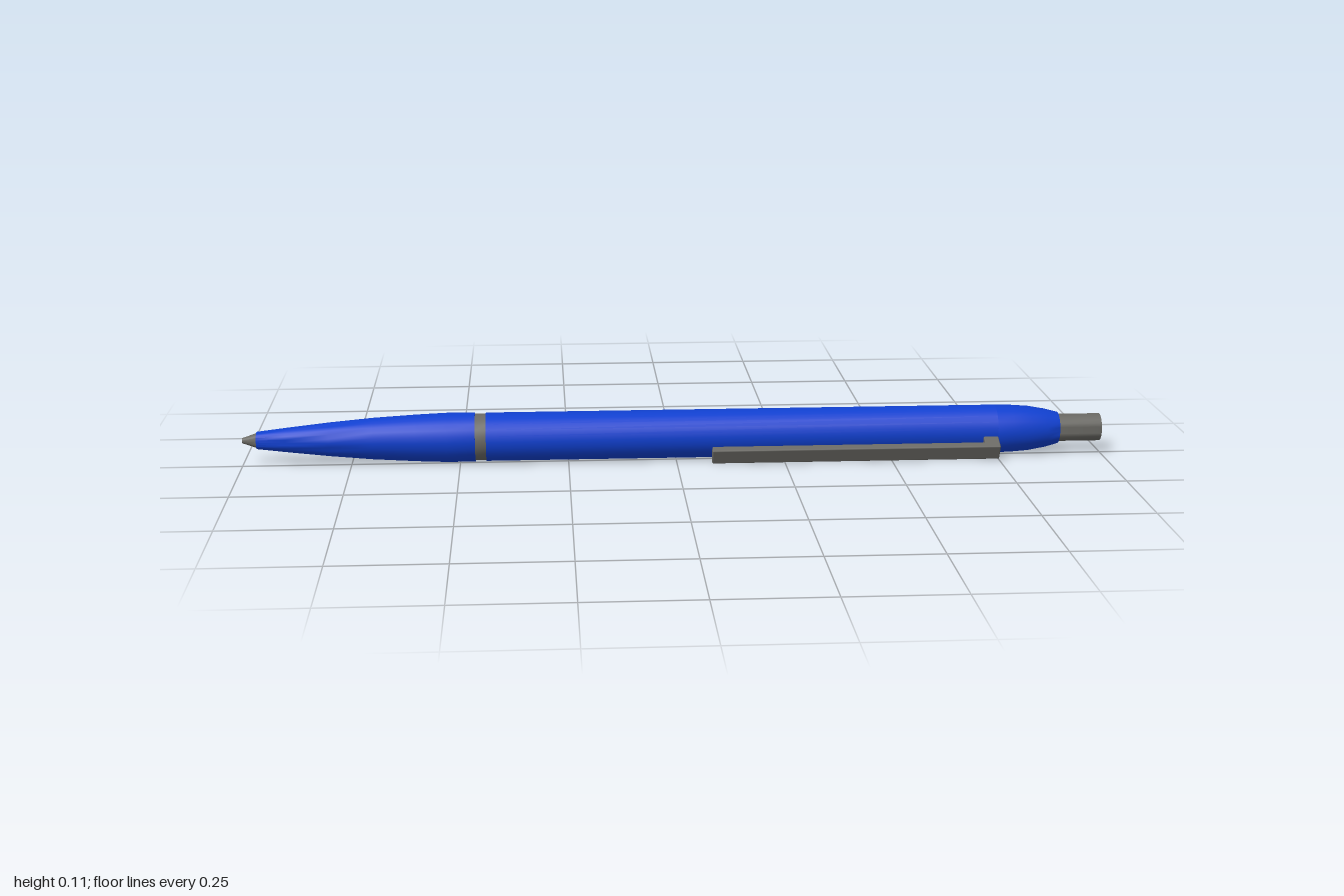
import * as THREE from 'three';
import { toCreasedNormals } from 'three/addons/utils/BufferGeometryUtils.js';
import { RoundedBoxGeometry } from 'three/addons/geometries/RoundedBoxGeometry.js';

const blue = new THREE.MeshStandardMaterial({ color: 0x1040d0 });
const metal = new THREE.MeshStandardMaterial({ color: 0x6a6964 });

// Turned part along x; profile is [x, radius] from writing end to button end
function turned(name, profile, material, sides = 24) {
  const points = profile.map(([x, r]) => new THREE.Vector2(r, x));
  const geometry = toCreasedNormals(new THREE.LatheGeometry(points, sides), 0.6);
  geometry.rotateZ(-Math.PI / 2);
  const mesh = new THREE.Mesh(geometry, material);
  mesh.name = name;
  return mesh;
}

function block(name, x0, x1, r0, r1, width, bevel) {
  const geometry = new RoundedBoxGeometry(x1 - x0, width, r1 - r0, 2, bevel);
  const mesh = new THREE.Mesh(geometry, metal);
  mesh.position.set((x0 + x1) / 2, 0, (r0 + r1) / 2);
  mesh.name = name;
  return mesh;
}

export function createModel() {
  const pen = new THREE.Group();
  pen.name = 'pen';

  // Writing tip and tapered grip
  pen.add(turned('tip', [[-1, 0], [-1, 0.006], [-0.965, 0.018], [-0.96, 0]], metal));
  pen.add(turned('grip', [
    [-0.967, 0], [-0.967, 0.02], [-0.9, 0.028], [-0.8, 0.039], [-0.7, 0.048],
    [-0.6, 0.054], [-0.53, 0.057], [-0.465, 0.057], [-0.465, 0],
  ], blue));

  // Ring, barrel and shoulder cap
  pen.add(turned('ring', [[-0.466, 0], [-0.466, 0.054], [-0.438, 0.054], [-0.438, 0]], metal));
  pen.add(turned('barrel', [[-0.44, 0], [-0.44, 0.056], [0.75, 0.056], [0.75, 0]], blue));
  pen.add(turned('cap', [
    [0.75, 0], [0.75, 0.056], [0.79, 0.055], [0.83, 0.052], [0.87, 0.045],
    [0.9, 0.037], [0.9, 0],
  ], blue));

  // Push button
  pen.add(turned('button', [[0.88, 0], [0.88, 0.032], [1, 0.032], [1, 0]], metal));

  // Pocket clip, turned below the horizontal, with its foot on the barrel
  const clip = new THREE.Group();
  clip.name = 'clip';
  clip.add(block('clipBar', 0.08, 0.75, 0.071, 0.089, 0.038, 0.003));
  clip.add(block('clipFoot', 0.715, 0.75, 0.045, 0.08, 0.038, 0.003));
  clip.rotation.x = THREE.MathUtils.degToRad(25);
  pen.add(clip);

  pen.position.set(0, 0.058, -0.016);
  const model = new THREE.Group();
  model.add(pen);
  return model;
}
